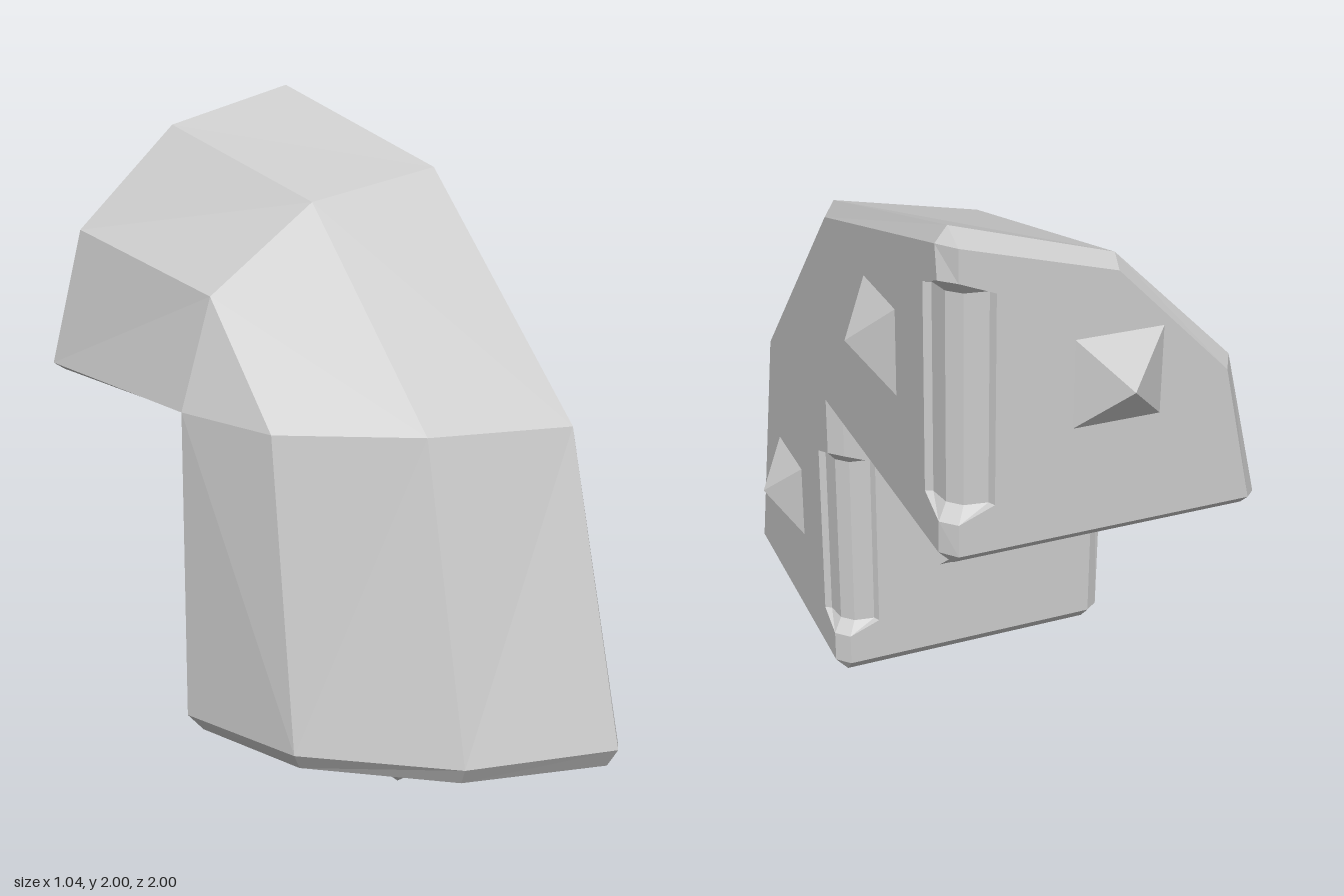
import * as THREE from 'three';

const V = (x, y, z) => new THREE.Vector3(x, y, z);
// Mirror across the diagonal plane that swaps the lower and upper halves
const flip = p => V(p.x, p.z + 1, p.y - 1);

const material = new THREE.MeshStandardMaterial({ color: 0xcccccc, flatShading: true });

// Collects flat polygons; every triangle is turned away from (or toward) a reference point
function faceBuilder() {
  const pos = [];
  const core = V(0, 1.25, 0.25);
  const poly = (pts, ref = core, toward = false) => {
    const n = V(0, 0, 0);
    pts.forEach((p, i) => n.add(p.clone().cross(pts[(i + 1) % pts.length])));
    const a = [Math.abs(n.x), Math.abs(n.y), Math.abs(n.z)];
    const axis = a.indexOf(Math.max(...a));
    const flat = pts.map(p => {
      const c = p.toArray();
      c.splice(axis, 1);
      return new THREE.Vector2(c[0], c[1]);
    });
    for (const t of THREE.ShapeUtils.triangulateShape(flat, [])) {
      const [p, q, r] = t.map(i => pts[i]);
      const normal = q.clone().sub(p).cross(r.clone().sub(p));
      if (normal.length() < 1e-8) continue;
      const outward = normal.dot(p.clone().sub(ref)) > 0;
      const order = outward !== toward ? [p, q, r] : [p, r, q];
      order.forEach(v => pos.push(v.x, v.y, v.z));
    }
  };
  const both = pts => { poly(pts); poly(pts.map(flip)); };
  const geometry = () => {
    const g = new THREE.BufferGeometry();
    g.setAttribute('position', new THREE.Float32BufferAttribute(pos, 3));
    g.computeVertexNormals();
    return g;
  };
  return { poly, both, geometry };
}

function makeBody() {
  const { poly, both, geometry } = faceBuilder();

  // Cross-section rings of the lower half
  const xs = [0.385, -0.06, -0.41, -0.52];
  const foot = [1.0, 0.87, 0.53, 0.09].map((z, i) => V(xs[i], i ? 0.15 : 0.16, z));
  const bend = [0.76, 0.67, 0.41, 0.08].map((z, i) => V(xs[i], i < 3 ? 1.06 : 1.08, z));
  const sole = [V(0.38, 0.1, 0.96), V(-0.05, 0.1, 0.84), V(-0.38, 0.1, 0.51), V(-0.475, 0.1, 0.105)];
  const soleBack = V(0.38, 0.1, 0.105);

  // Right face and back face corners
  const sideFoot = V(0.42, 0.155, 0.96), sideBend = V(0.42, 1.04, 0.72);
  const sideBack = V(0.42, 0.145, 0.105), sideInner = V(0.42, 1.105, 0.105);
  const backLow = V(0.38, 0.145, 0.065), backTop = V(0.38, 1.065, 0.065);
  const backLeft = V(-0.48, 0.145, 0.065), backLeftTop = V(-0.48, 1.065, 0.065);

  // Faceted outer shell and the bevel round the sole
  for (let i = 0; i < 3; i++) {
    both([foot[i], foot[i + 1], bend[i + 1], bend[i]]);
    both([foot[i], foot[i + 1], sole[i + 1], sole[i]]);
    const band = [bend[i], bend[i + 1], flip(bend[i + 1]), flip(bend[i])];
    poly(i < 2 ? band : [band[0], band[1], band[3]]);
  }

  // Straight bevels and their corners
  both([foot[0], bend[0], sideBend, sideFoot]);
  poly([bend[0], flip(bend[0]), flip(sideBend), sideBend]);
  both([sole[3], soleBack, backLow, backLeft]);
  both([foot[3], backLeft, backLeftTop, bend[3]]);
  both([foot[3], sole[3], backLeft]);
  both([soleBack, sideBack, backLow]);
  both([foot[0], sideFoot, sole[0]]);
  poly([sole[0], sideFoot, sideBack, soleBack]);
  poly([backLow, sideBack, sideInner, backTop].map(flip));

  // Plain flat faces: sole and overhang
  poly([...sole, soleBack]);
  poly([backLow, backTop, backLeftTop, backLeft].map(flip));

  // Recessed grip in a vertical back edge; returns its outlines on the two faces
  const grip = (y0, y1, zBack) => {
    const at = (y, list) => list.map(([a, b]) => V(0.42 - a, y, zBack + b));
    const end = [[0, 0.04], [0, 0.04], [0, 0.04], [0.04, 0], [0.04, 0], [0.04, 0]];
    const mid = [[0, 0.14], [0.02, 0.13], [0.03, 0.065], [0.065, 0.03], [0.13, 0.02], [0.14, 0]];
    const rows = [at(y0, end), at(y0 + 0.04, mid), at(y1 - 0.04, mid), at(y1, end)];
    const outside = V(0.52, (y0 + y1) / 2, zBack - 0.1);
    for (let r = 0; r < 3; r++) {
      for (let c = 0; c < 5; c++) {
        const quad = [rows[r][c], rows[r][c + 1], rows[r + 1][c + 1], rows[r + 1][c]];
        const corners = quad.filter((p, i) => !quad.slice(0, i).some(q => q.distanceTo(p) < 1e-5));
        if (corners.length > 2) poly(corners, outside, true);
      }
    }
    return { side: rows.map(r => r[0]), back: rows.map(r => r[5]) };
  };
  const low = grip(0.25, 0.92, 0.065);
  const high = grip(1.2, 1.87, -0.9);

  // Edge bevels above and below each grip
  poly([sideBack, low.side[0], low.back[0], backLow]);
  poly([low.side[3], sideInner, backTop, low.back[3]]);
  poly([flip(sideBack), high.side[0], high.back[0], flip(soleBack)]);
  poly([high.side[3], flip(sideFoot), flip(sole[0]), high.back[3]]);

  // Back faces with grip cut-outs
  poly([backLeft, backLow, ...low.back, backTop, backLeftTop]);
  poly([flip(sole[3]), flip(soleBack), ...high.back, ...sole.slice(0, 3).map(flip)]);

  // Right face with both cut-outs
  poly([sideFoot, sideBack, ...low.side, sideInner, flip(sideBack), ...high.side,
    flip(sideFoot), flip(sideBend), sideBend]);

  const mesh = new THREE.Mesh(geometry(), material);
  mesh.name = 'armourShell';
  return mesh;
}

// Square pyramid stud standing on a face
function makeStud(name, base, direction) {
  const g = new THREE.ConeGeometry(0.125 * Math.SQRT2, 0.1, 4, 1, true);
  g.rotateY(Math.PI / 4);
  g.translate(0, 0.05, 0);
  const mesh = new THREE.Mesh(g, material);
  mesh.name = name;
  mesh.position.copy(base);
  if (direction.x) mesh.rotation.z = -Math.PI / 2;
  else if (direction.z) mesh.rotation.x = -Math.PI / 2;
  else mesh.rotation.x = Math.PI;
  return mesh;
}

export function createModel() {
  const group = new THREE.Group();
  group.name = 'steppedCornerPiece';
  group.add(makeBody());
  const side = V(1, 0, 0), back = V(0, 0, -1), down = V(0, -1, 0);
  group.add(
    makeStud('lowerSideStud', V(0.42, 0.58, 0.54), side),
    makeStud('upperSideStud', V(0.42, 1.545, -0.425), side),
    makeStud('lowerBackStud', V(-0.06, 0.58, 0.065), back),
    makeStud('upperBackStud', V(-0.06, 1.545, -0.9), back),
    makeStud('bottomStud', V(-0.06, 0.1, 0.54), down),
    makeStud('overhangStud', V(-0.06, 1.065, -0.425), down)
  );
  return group;
}
